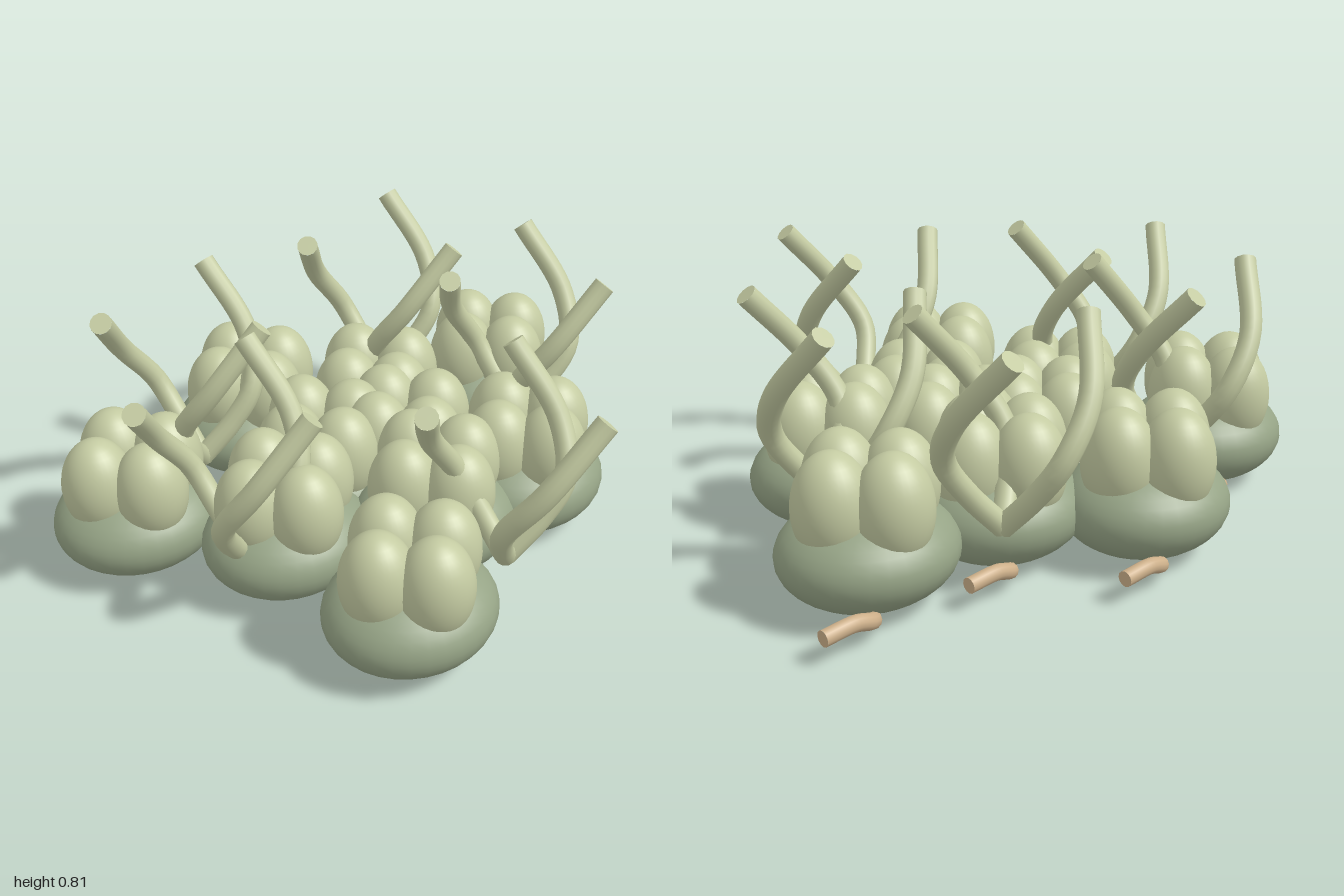
import * as THREE from 'three';

const mat = (name, color) => {
  const m = new THREE.MeshStandardMaterial({ color });
  m.name = name;
  return m;
};

// Tube through the given points, closed at both ends with discs
function cappedTube(points, radius, material, name) {
  const group = new THREE.Group();
  group.name = name;
  const curve = new THREE.CatmullRomCurve3(points);
  group.add(new THREE.Mesh(new THREE.TubeGeometry(curve, 24, radius, 12), material));
  for (const [t, sign] of [[0, -1], [1, 1]]) {
    const cap = new THREE.Mesh(new THREE.CircleGeometry(radius, 12), material);
    const direction = curve.getTangent(t).multiplyScalar(sign);
    cap.quaternion.setFromUnitVectors(new THREE.Vector3(0, 0, 1), direction);
    cap.position.copy(curve.getPoint(t));
    group.add(cap);
  }
  group.children.forEach((mesh) => { mesh.name = name; });
  return group;
}

export function createModel() {
  const model = new THREE.Group();
  model.name = 'succulentCluster';
  const bodyMat = mat('dull green', 0x96a486);
  const lobeMat = mat('pale green', 0xc4cba2);
  const stemMat = mat('tan', 0xcdb08a);
  const sphere = new THREE.SphereGeometry(1, 32, 20);

  const ellipsoid = (name, material, scale, position) => {
    const mesh = new THREE.Mesh(sphere, material);
    mesh.name = name;
    mesh.scale.set(...scale);
    mesh.position.set(...position);
    return mesh;
  };

  // Squat cushions, each with four upright lobes and a hooked root
  const cushions = [
    [-0.725, -0.36], [-0.14, -0.605], [0.682, -0.302], [-0.288, 0.52], [0.42, 0.21],
    [-0.40, 0.02], [0.04, 0.21], [-0.13, -0.17], [0.21, -0.34], [0.13, -0.06],
  ];
  for (const [x, z] of cushions) {
    const cushion = new THREE.Group();
    cushion.name = 'cushion';
    cushion.position.set(x, 0, z);
    cushion.add(ellipsoid('cushionBody', bodyMat, [0.275, 0.155, 0.25], [0, 0.157, 0]));
    for (let i = 0; i < 4; i++) {
      const a = i * Math.PI / 2;
      cushion.add(ellipsoid('lobe', lobeMat, [0.115, 0.165, 0.115],
        [0.121 * Math.cos(a), 0.32, 0.121 * Math.sin(a)]));
    }
    const root = [[0.08, 0.05, -0.08], [0.1, 0.035, -0.14], [0.15, 0.065, -0.2],
      [0.21, 0.085, -0.21], [0.315, 0.08, -0.21]];
    cushion.add(cappedTube(root.map((p) => new THREE.Vector3(...p)), 0.024, stemMat, 'root'));
    model.add(cushion);
  }

  // Tufts of three twisting shoots
  const tufts = [[0.06, 0.54], [0.6, -0.04], [0.367, -0.52], [-0.43, -0.455], [-0.58, 0.052]];
  // Shoot profile: twist in degrees, distance from the tuft axis, height
  const profile = [[67, 0, 0.2], [70, 0.11, 0.32], [64, 0.19, 0.44], [38, 0.235, 0.59], [0, 0.285, 0.79]];
  for (const [x, z] of tufts) {
    const tuft = new THREE.Group();
    tuft.name = 'tuft';
    tuft.position.set(x, 0, z);
    for (let i = 0; i < 3; i++) {
      const points = profile.map(([twist, r, y]) => {
        const a = THREE.MathUtils.degToRad(69 + i * 120 + twist);
        return new THREE.Vector3(r * Math.cos(a), y, r * Math.sin(a));
      });
      tuft.add(cappedTube(points, 0.035, lobeMat, 'shoot'));
    }
    model.add(tuft);
  }
  return model;
}
